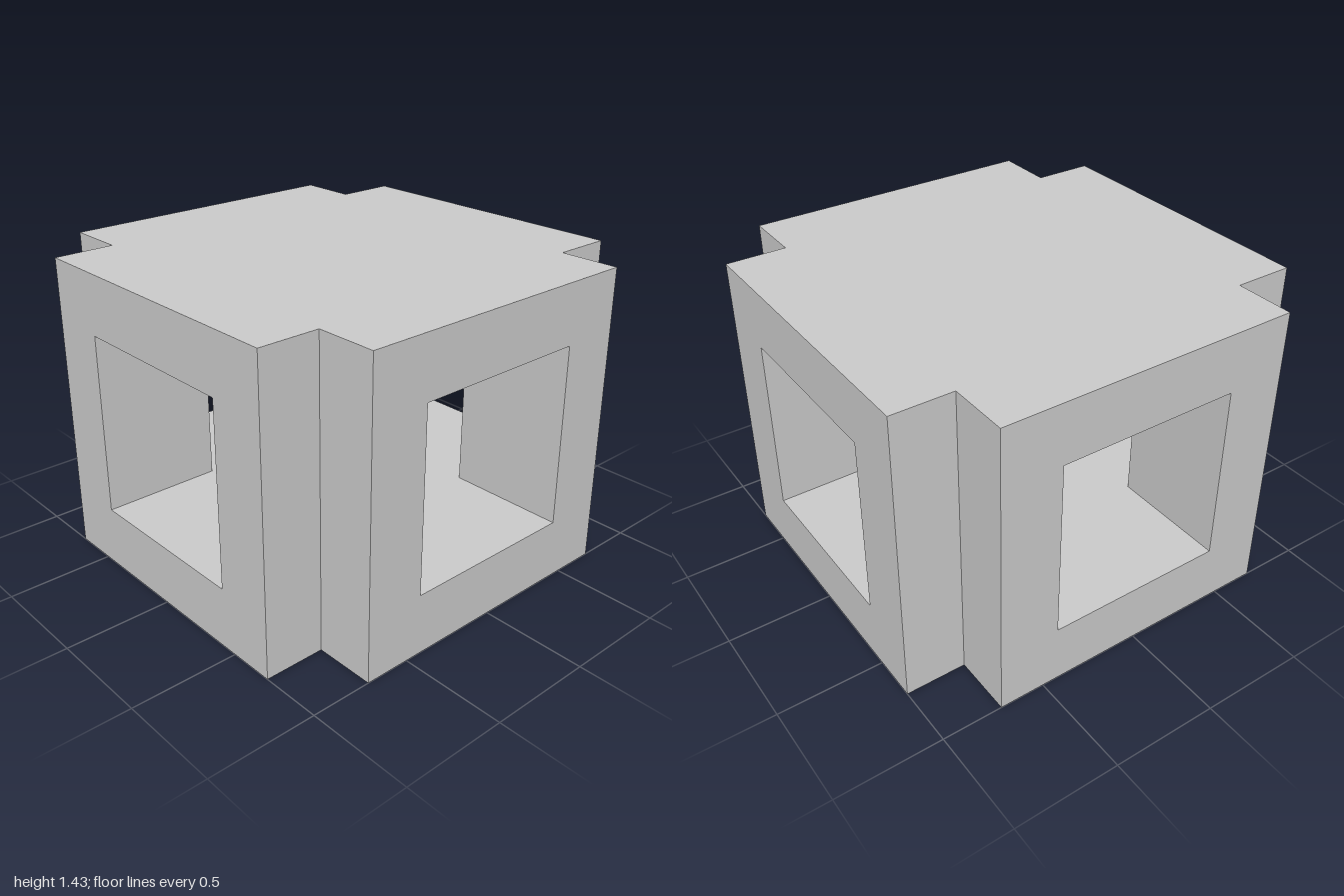
import * as THREE from 'three';

// everything sits on a module of 2/7: body 5 wide, 7 long, tunnels 3 wide
const U = 2 / 7;
const END = 3.5 * U, BODY = 2.5 * U, HOLE = 1.5 * U, HEIGHT = 5 * U;

// plus-shaped outline with arms of half width w reaching out to END
function plusShape(w) {
  const e = END;
  return new THREE.Shape([
    [w, w], [w, e], [-w, e], [-w, w], [-e, w], [-e, -w],
    [-w, -w], [-w, -e], [w, -e], [w, -w], [e, -w], [e, w],
  ].map(([x, y]) => new THREE.Vector2(x, y)));
}

export function createModel() {
  const material = new THREE.MeshStandardMaterial({ color: 0xcccccc });
  const model = new THREE.Group();
  model.name = 'crossedTunnelBlock';

  const add = (parent, name, geometry) => {
    const mesh = new THREE.Mesh(geometry, material);
    mesh.name = name;
    parent.add(mesh);
  };

  // horizontal plus-shaped surface facing up or down
  const level = (name, w, y, up) => {
    const g = new THREE.ShapeGeometry(plusShape(w));
    add(model, name, g.rotateX(up ? -Math.PI / 2 : Math.PI / 2).translate(0, y, 0));
  };
  level('roof', BODY, HEIGHT, true);
  level('underside', BODY, 0, false);
  level('tunnelFloor', HOLE, U, true);
  level('tunnelCeiling', HOLE, HEIGHT - U, false);

  // upright wall at x, facing along +x (dir 1) or -x (dir -1)
  const wall = (x, dir, z0, z1, y0, y1) =>
    new THREE.PlaneGeometry(z1 - z0, y1 - y0)
      .rotateY(dir * Math.PI / 2)
      .translate(x, (y0 + y1) / 2, (z0 + z1) / 2);

  // outer face with its square opening
  const face = new THREE.Shape([
    new THREE.Vector2(-BODY, 0), new THREE.Vector2(BODY, 0),
    new THREE.Vector2(BODY, HEIGHT), new THREE.Vector2(-BODY, HEIGHT),
  ]);
  face.holes.push(new THREE.Path([
    new THREE.Vector2(-HOLE, U), new THREE.Vector2(-HOLE, HEIGHT - U),
    new THREE.Vector2(HOLE, HEIGHT - U), new THREE.Vector2(HOLE, U),
  ]));

  // four identical arms around the centre
  ['front', 'left', 'back', 'right'].forEach((side, i) => {
    const arm = new THREE.Group();
    arm.name = side + 'Arm';
    arm.rotation.y = i * Math.PI / 2;
    add(arm, side + 'Face', new THREE.ShapeGeometry(face).translate(0, 0, END));
    for (const s of [-1, 1]) {
      add(arm, side + 'CornerReturn', wall(s * BODY, s, BODY, END, 0, HEIGHT));
      add(arm, side + 'TunnelWall', wall(s * HOLE, -s, HOLE, END, U, HEIGHT - U));
    }
    model.add(arm);
  });

  return model;
}
